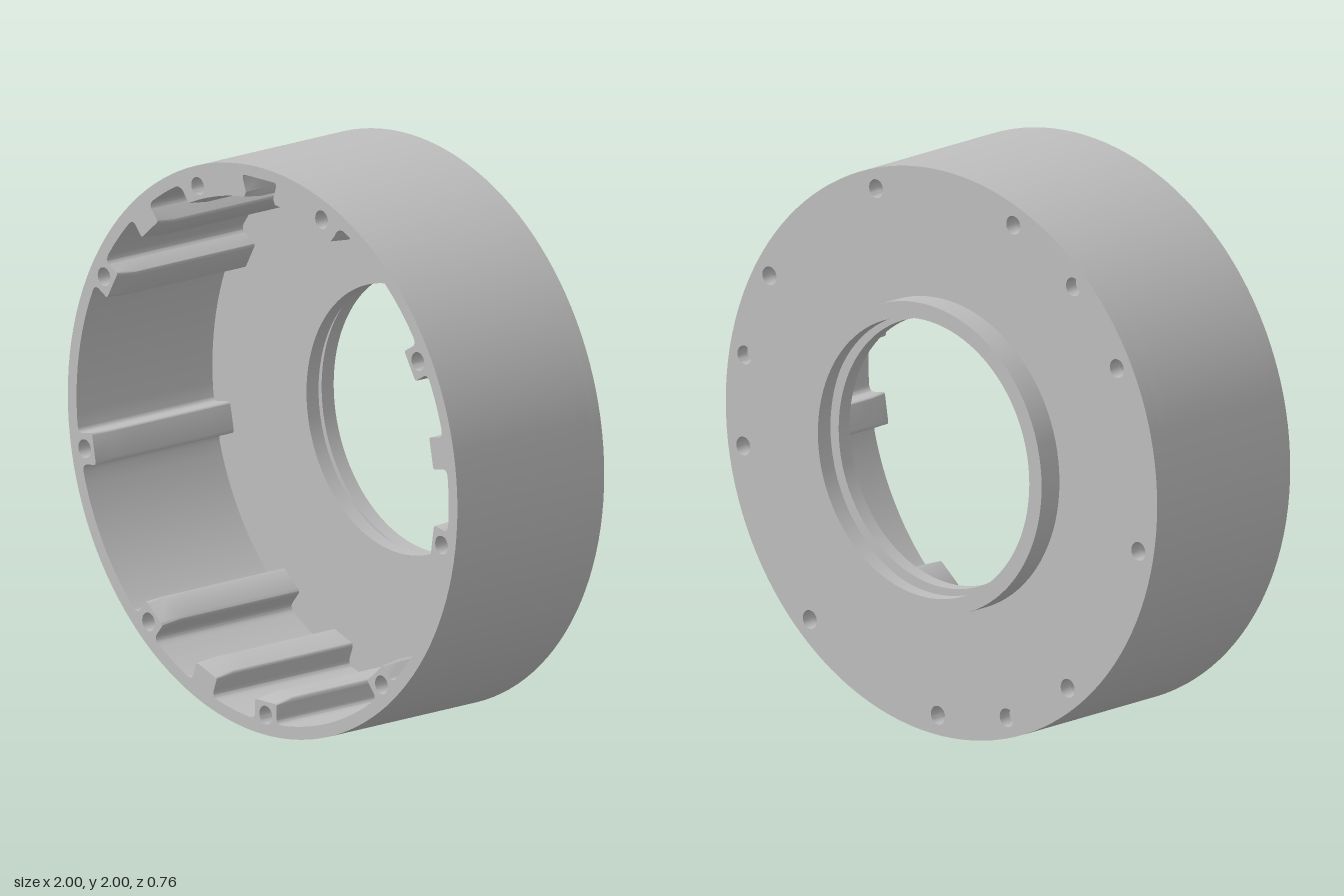
import * as THREE from 'three';
import { toCreasedNormals } from 'three/addons/utils/BufferGeometryUtils.js';

const DEG = Math.PI / 180;
const WALL = 0.955, BOSS = 0.87, BLOCK = 0.875;
const FRONT = 0.38, FLOOR = -0.24, BACK = -0.29, HUB = -0.38;
const THROUGH = [31, 71, 111, 151, 191, 231, 271, 311, 351];
const BLIND = [11, 131, 251];

// Point at radius r along angle a, shifted sideways by t
const local = (a, t, r) => [r * Math.cos(a) - t * Math.sin(a), r * Math.sin(a) + t * Math.cos(a)];
const polar = (a, r) => local(a, 0, r);

function circle(r, n, cx = 0, cy = 0) {
  return Array.from({ length: n }, (_, i) => {
    const a = (i / n) * Math.PI * 2;
    return new THREE.Vector2(cx + r * Math.cos(a), cy + r * Math.sin(a));
  });
}

const screwHoles = (angles) => angles.map((d) =>
  new THREE.Path(circle(0.033, 20, ...polar(d * DEG, 0.93))));

// Rounded rib with fillets where it meets the wall
function addBoss(path, a) {
  path.quadraticCurveTo(...local(a, -0.055, 0.952), ...local(a, -0.055, 0.93));
  path.lineTo(...local(a, -0.055, 0.885));
  path.quadraticCurveTo(...local(a, -0.055, BOSS), ...local(a, -0.042, BOSS));
  path.lineTo(...local(a, 0.042, BOSS));
  path.quadraticCurveTo(...local(a, 0.055, BOSS), ...local(a, 0.055, 0.885));
  path.lineTo(...local(a, 0.055, 0.93));
  path.quadraticCurveTo(...local(a, 0.055, 0.952), ...polar(a + 0.085, WALL));
}

// Wide block with a keyed slot in its middle
function addSlottedBlock(path, a) {
  const half = 24.3 * DEG, slot = 0.078 / BLOCK;
  path.quadraticCurveTo(...polar(a - half - 0.01, 0.945), ...polar(a - half - 0.01, 0.915));
  path.lineTo(...polar(a - half, BLOCK));
  path.absarc(0, 0, BLOCK, a - half, a - slot, false);
  path.lineTo(...local(a, -0.07, 0.9));
  path.lineTo(...local(a, -0.085, 0.945));
  path.quadraticCurveTo(...local(a, -0.088, 0.96), ...local(a, -0.072, 0.96));
  path.lineTo(...local(a, 0.072, 0.96));
  path.quadraticCurveTo(...local(a, 0.088, 0.96), ...local(a, 0.085, 0.945));
  path.lineTo(...local(a, 0.07, 0.9));
  path.absarc(0, 0, BLOCK, a + slot, a + half, false);
  path.lineTo(...polar(a + half + 0.01, 0.915));
  path.quadraticCurveTo(...polar(a + half + 0.01, 0.945), ...polar(a + half + 0.04, WALL));
}

// Inner outline of the wall, walked once around
function innerOutline() {
  const path = new THREE.Path();
  let from = -9 * DEG + 0.085;
  path.moveTo(...polar(from, WALL));
  for (const d of [11, 31, 91, 131, 151, 191, 231, 251, 271, 311, 351]) {
    const a = d * DEG, isBlock = d === 91;
    const reach = isBlock ? 24.3 * DEG + 0.04 : 0.085;
    path.absarc(0, 0, WALL, from, a - reach, false);
    (isBlock ? addSlottedBlock : addBoss)(path, a);
    from = a + reach;
  }
  return path.getPoints(6);
}

function extrude(outline, holes, z0, z1, steps) {
  const shape = new THREE.Shape(outline);
  shape.holes.push(...holes);
  const geo = new THREE.ExtrudeGeometry(shape, { depth: z1 - z0, steps, bevelEnabled: false });
  return geo.translate(0, 0, z0);
}

export function createModel() {
  const group = new THREE.Group();
  group.name = 'ringHousing';
  const grey = new THREE.MeshStandardMaterial({ color: 0xbebebe });
  grey.name = 'plain grey';

  const add = (name, geo) => {
    const mesh = new THREE.Mesh(toCreasedNormals(geo, 0.6), grey);
    mesh.name = name;
    mesh.position.y = 1;
    group.add(mesh);
  };

  // Outer wall with its ribs, slotted block and screw holes
  const wall = extrude(circle(1, 128), [new THREE.Path(innerOutline()), ...screwHoles(THROUGH)], FLOOR, FRONT, 8);
  // Slope the front ends of the ribs outward
  const p = wall.attributes.position;
  for (let i = 0; i < p.count; i++) {
    const r = Math.hypot(p.getX(i), p.getY(i));
    if (p.getZ(i) > FRONT - 0.01 && r < 0.895) {
      const k = (r + (0.895 - r) * 0.5) / r;
      p.setXY(i, p.getX(i) * k, p.getY(i) * k);
    }
  }
  add('ribbedWall', wall);

  // Back plate
  add('backPlate', extrude(circle(1, 128),
    [new THREE.Path(circle(0.5, 96)), ...screwHoles([...THROUGH, ...BLIND])], BACK, FLOOR, 1));

  // Hub collar with stepped, grooved bore
  const profile = [
    [0.49, HUB], [0.547, HUB], [0.547, BACK], [0.5, BACK], [0.5, FLOOR], [0.472, FLOOR],
    [0.472, -0.295], [0.51, -0.295], [0.51, -0.325], [0.49, -0.325], [0.49, HUB],
  ].map(([r, z]) => new THREE.Vector2(r, z));
  add('hubCollar', new THREE.LatheGeometry(profile, 96).rotateX(Math.PI / 2));

  return group;
}
